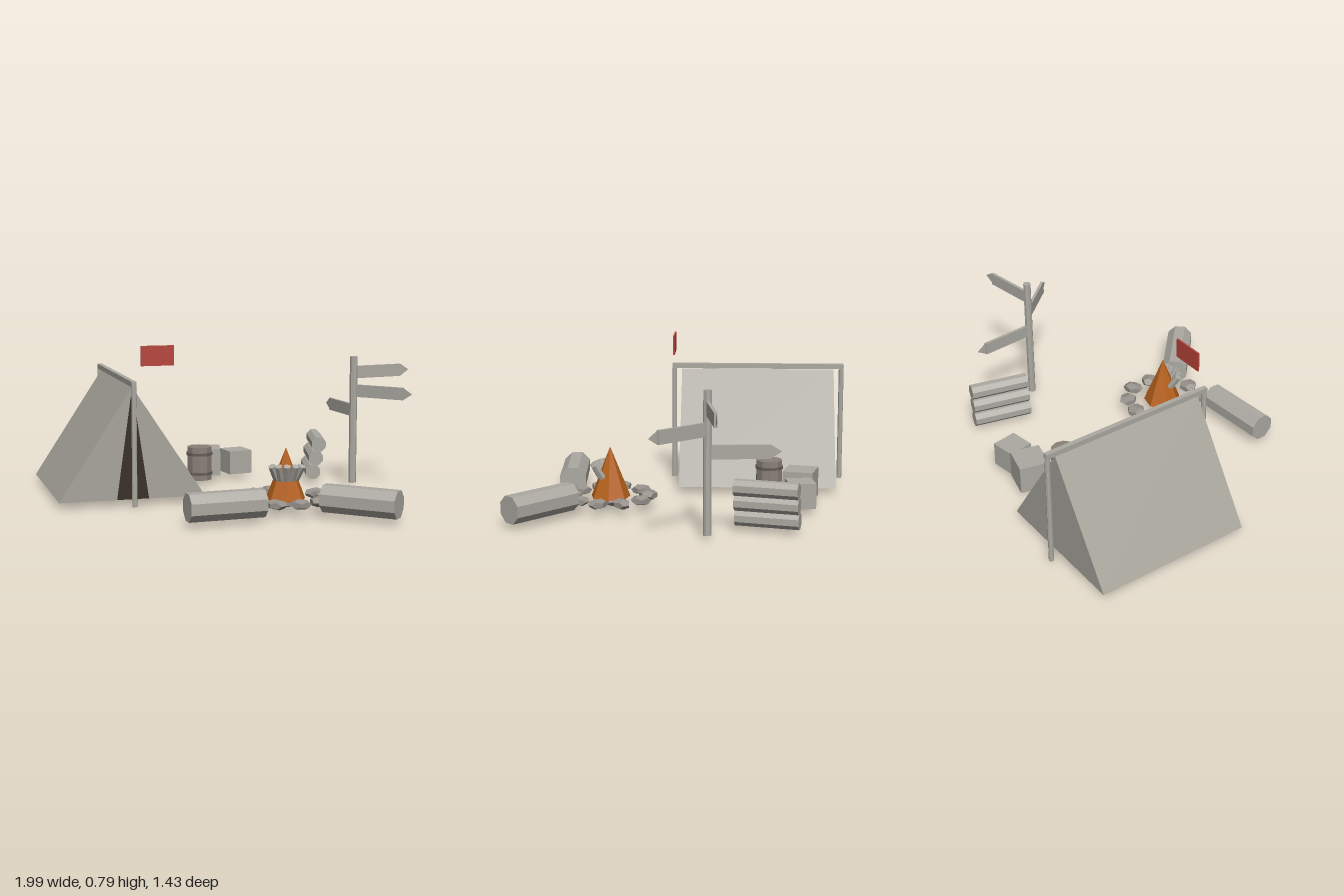
import * as THREE from 'three';

export function createModel() {
  const camp = new THREE.Group();
  camp.name = 'campsite';

  const paint = (name, color) => {
    const m = new THREE.MeshStandardMaterial({ color, flatShading: true, side: THREE.DoubleSide });
    m.name = name;
    return m;
  };
  const canvas = paint('canvas', 0xa7a49b);
  const wood = paint('wood', 0xaba9a1);
  const stone = paint('stone', 0x96908a);
  const barrelWood = paint('barrel wood', 0x8a8078);
  const hoopMetal = paint('hoop metal', 0x655e58);
  const dark = paint('dark opening', 0x372f25);
  const red = paint('flag red', 0xb8453b);
  const flame = paint('flame orange', 0xb5601b);

  const add = (parent, name, geometry, material, x = 0, y = 0, z = 0) => {
    const mesh = new THREE.Mesh(geometry, material);
    mesh.name = name;
    mesh.position.set(x, y, z);
    parent.add(mesh);
    return mesh;
  };
  const group = (name, x, y, z, turn = 0) => {
    const g = new THREE.Group();
    g.name = name;
    g.position.set(x, y, z);
    g.rotation.y = turn;
    camp.add(g);
    return g;
  };
  const polygon = (...points) =>
    new THREE.ShapeGeometry(new THREE.Shape(points.map(([x, y]) => new THREE.Vector2(x, y))));
  // Eight-sided log lying along x, flat side up
  const logGeometry = (radius, length) =>
    new THREE.CylinderGeometry(radius, radius, length, 8).rotateY(Math.PI / 8).rotateZ(Math.PI / 2);

  // Tent: two slopes, back wall and split front wall, open underneath
  const tent = group('tent', -0.545, 0, -0.239, 0.24);
  const half = 0.365, rise = 0.555, slope = Math.hypot(half, rise);
  for (const side of [-1, 1]) {
    const roof = add(tent, 'tentSlope', new THREE.PlaneGeometry(0.8, slope).rotateY(side * Math.PI / 2),
      canvas, side * half / 2, 0.03 + rise / 2, 0);
    roof.rotation.z = side * Math.atan2(half, rise);
    add(tent, 'frontFlap', polygon([side * half, 0], [0, rise], [side * 0.08, 0]), canvas, 0, 0.03, 0.4);
  }
  add(tent, 'backWall', polygon([-half, 0], [half, 0], [0, rise]).rotateY(Math.PI), canvas, 0, 0.03, -0.4);
  add(tent, 'doorway', polygon([-0.08, 0], [0.08, 0], [0, rise]), dark, 0, 0.03, 0.4);

  // Ridge pole on two posts, and a flag
  add(tent, 'ridgePole', new THREE.BoxGeometry(0.024, 0.026, 0.9), wood, 0, 0.602, 0);
  for (const z of [-0.44, 0.44]) {
    add(tent, 'tentPost', new THREE.CylinderGeometry(0.013, 0.013, 0.605, 8), wood, 0, 0.3025, z);
  }
  const flag = add(camp, 'flag', new THREE.BoxGeometry(0.164, 0.098, 0.008), red, -0.326, 0.737, 0.153);
  flag.rotation.y = 0.24;

  // Log seats
  for (const [x, z, turn] of [[-0.012, 0.595, 0.3], [0.622, 0.53, -0.5]]) {
    add(camp, 'logSeat', logGeometry(0.07, 0.37), wood, x, 0.091, z).rotation.y = turn;
  }

  // Campfire: flame, kindling fanned in front and a ring of stones
  const fire = group('campfire', 0.288, 0, 0.297);
  add(fire, 'flame', new THREE.ConeGeometry(0.098, 0.25, 7, 1, true), flame, 0, 0.183, 0);
  for (let i = -2; i <= 2; i++) {
    const a = i * 0.5;
    const stick = add(fire, 'kindling', new THREE.CylinderGeometry(0.018, 0.018, 0.08, 6), wood,
      Math.sin(a) * 0.07, 0.193, 0.015 + Math.cos(a) * 0.048);
    stick.rotation.set(0.45, 0, -i * 0.17);
  }
  const pebble = (x, y, z, i) => {
    const m = add(fire, 'stone', new THREE.DodecahedronGeometry(1, 0), stone, x, y, z);
    m.scale.set(0.053 + 0.004 * Math.sin(i * 3), 0.026, 0.045 + 0.004 * Math.cos(i * 5));
    m.rotation.y = i * 1.3;
  };
  for (let i = 0; i < 10; i++) {
    const a = (i + 0.5) * Math.PI / 5;
    pebble(Math.sin(a) * 0.184, 0.065, Math.cos(a) * 0.184, i);
  }
  pebble(0, 0.038, -0.01, 10);

  // Barrel with two hoops
  const barrel = group('barrel', -0.114, 0, -0.405);
  add(barrel, 'barrelBody', new THREE.CylinderGeometry(0.066, 0.066, 0.175, 10), barrelWood, 0, 0.1125, 0);
  for (const y of [0.06, 0.163]) {
    add(barrel, 'barrelHoop', new THREE.CylinderGeometry(0.071, 0.071, 0.014, 10), hoopMetal, 0, y, 0);
  }

  // Crates
  add(camp, 'largeCrate', new THREE.BoxGeometry(0.155, 0.145, 0.15), wood, -0.078, 0.0975, -0.573);
  add(camp, 'smallCrate', new THREE.BoxGeometry(0.13, 0.125, 0.13), wood, 0.087, 0.0875, -0.608).rotation.y = 0.4;

  // Firewood stack, leaning a little
  [0.489, 0.504, 0.519].forEach((x, i) => {
    add(camp, 'firewood', logGeometry(0.04, 0.302), wood, x, 0.06 + i * 0.074, -0.538).rotation.y = Math.PI / 2;
  });

  // Signpost with three arrow boards, each ending in a thin point
  const sign = group('signpost', 0.688, 0, -0.305);
  add(sign, 'post', new THREE.CylinderGeometry(0.02, 0.02, 0.665, 8), wood, 0, 0.3525, 0);
  for (const [y, dx, dz] of [[0.603, 0.26, -0.108], [0.507, 0.23, 0.157], [0.403, -0.09, -0.267]]) {
    const arm = new THREE.Group();
    arm.name = 'arrowBoard';
    arm.position.y = y;
    arm.rotation.y = Math.atan2(-dz, dx);
    sign.add(arm);
    add(arm, 'board', new THREE.BoxGeometry(0.267, 0.064, 0.015), wood, 0.1485, 0, 0);
    add(arm, 'point', polygon([0, -0.033], [0.052, 0], [0, 0.033]), wood, 0.282, 0, 0);
  }

  return camp;
}
